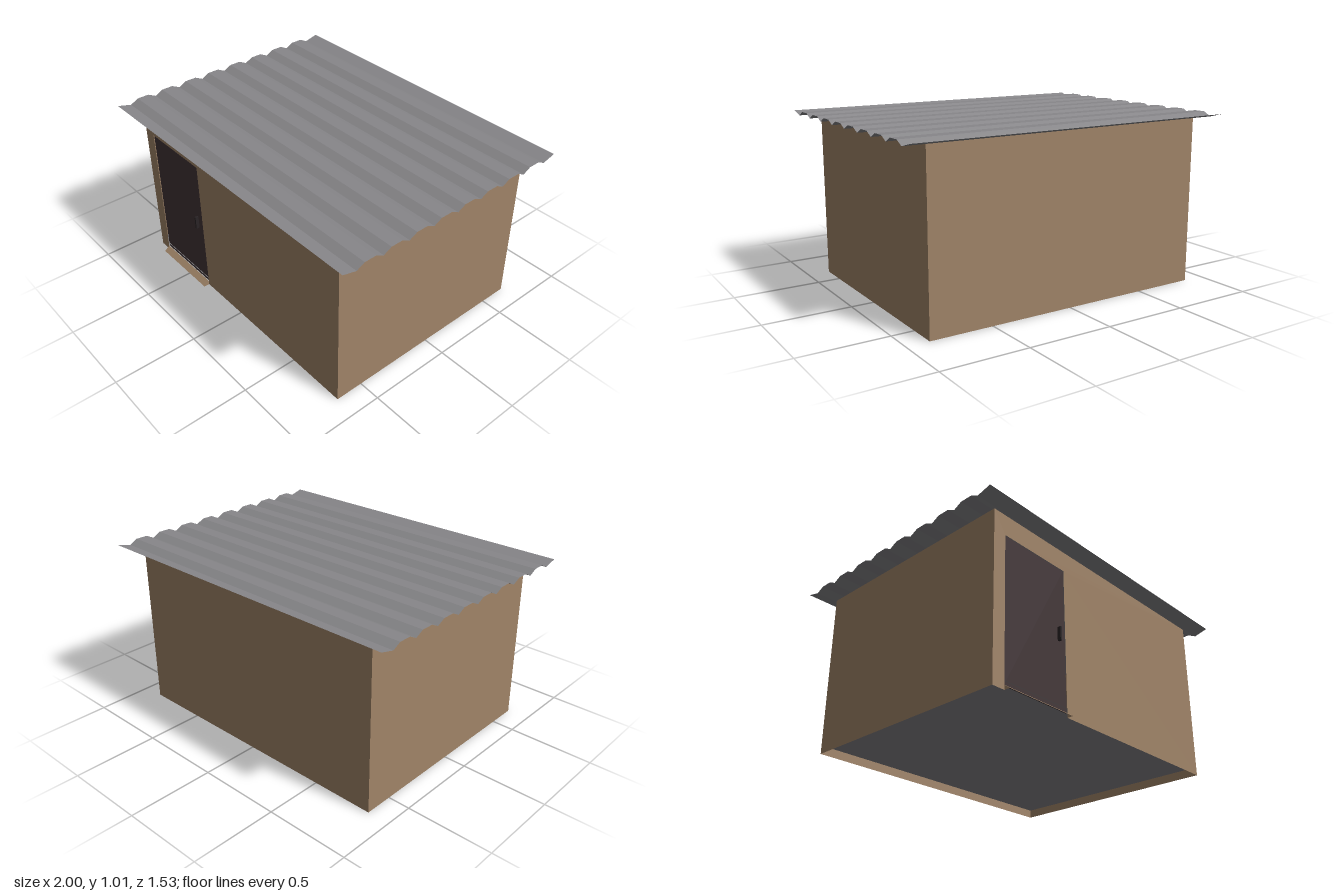
import * as THREE from 'three';

const W = 0.87, D = 0.667, H = 0.985;            // half width, half depth, wall height
const DOOR = { x0: -0.79, x1: -0.334, y0: 0.026, y1: 0.863 };

const mat = (name, color) => {
  const m = new THREE.MeshStandardMaterial({ color, side: THREE.DoubleSide });
  m.name = name;
  return m;
};

// Sheet swept along x from a list of [y, z] profile points, flat facets
function sheet(profile, x0, x1) {
  const pos = [];
  for (let i = 0; i < profile.length - 1; i++) {
    const [ya, za] = profile[i], [yb, zb] = profile[i + 1];
    pos.push(x0, ya, za, x0, yb, zb, x1, yb, zb);
    pos.push(x0, ya, za, x1, yb, zb, x1, ya, za);
  }
  const g = new THREE.BufferGeometry();
  g.setAttribute('position', new THREE.Float32BufferAttribute(pos, 3));
  g.computeVertexNormals();
  return g;
}

export function createModel() {
  const group = new THREE.Group();
  group.name = 'shed';
  const wall = mat('brown wall', 0xa08468);
  const metal = mat('grey metal', 0x88878a);
  const doorPaint = mat('dark door', 0x423537);
  const iron = mat('black iron', 0x2a2426);

  const add = (name, geometry, material, x = 0, y = 0, z = 0) => {
    const m = new THREE.Mesh(geometry, material);
    m.name = name;
    m.position.set(x, y, z);
    group.add(m);
    return m;
  };

  // Front wall with the doorway notched out down to the ground
  const front = new THREE.Shape([
    [-W, 0], [DOOR.x0, 0], [DOOR.x0, DOOR.y1], [DOOR.x1, DOOR.y1],
    [DOOR.x1, 0], [W, 0], [W, H], [-W, H],
  ].map(([x, y]) => new THREE.Vector2(x, y)));
  add('frontWall', new THREE.ShapeGeometry(front), wall, 0, 0, D);

  // Back and side walls
  add('backWall', new THREE.PlaneGeometry(2 * W, H), wall, 0, H / 2, -D).rotation.y = Math.PI;
  for (const s of [-1, 1]) {
    add(s > 0 ? 'leftWall' : 'rightWall', new THREE.PlaneGeometry(2 * D, H), wall, s * W, H / 2, 0)
      .rotation.y = s * Math.PI / 2;
  }

  // Raised floor
  add('floor', new THREE.PlaneGeometry(2 * W, 2 * D), metal, 0, 0.05, 0).rotation.x = -Math.PI / 2;

  // Door, handle and sloped doorstep
  add('door', new THREE.BoxGeometry(DOOR.x1 - DOOR.x0, DOOR.y1 - DOOR.y0, 0.006), doorPaint,
    (DOOR.x0 + DOOR.x1) / 2, (DOOR.y0 + DOOR.y1) / 2, D - 0.007);
  add('doorHandle', new THREE.BoxGeometry(0.011, 0.08, 0.025), iron, -0.385, 0.455, D + 0.004);
  add('doorstep', sheet([[0.026, D], [0, 0.702]], DOOR.x0, DOOR.x1), wall);
  const cheek = new THREE.Shape([
    new THREE.Vector2(0, 0), new THREE.Vector2(0.035, 0), new THREE.Vector2(0, 0.026),
  ]);
  for (const x of [DOOR.x0, DOOR.x1]) {
    add('doorstepSide', new THREE.ShapeGeometry(cheek), wall, x, 0, D).rotation.y = -Math.PI / 2;
  }

  // Corrugated roof: eight ridges with upturned front and back edges
  const low = H, high = 1.01, pitch = 0.1695, start = -4 * pitch;
  const profile = [[high - 0.003, -0.763]];
  for (let i = 0; i < 8; i++) {
    const z = start + i * pitch;
    profile.push([low, z], [high, z + 0.29 * pitch], [high, z + 0.71 * pitch]);
  }
  profile.push([low, -start], [high - 0.003, 0.763]);
  add('roof', sheet(profile, -1, 1), metal);

  return group;
}
